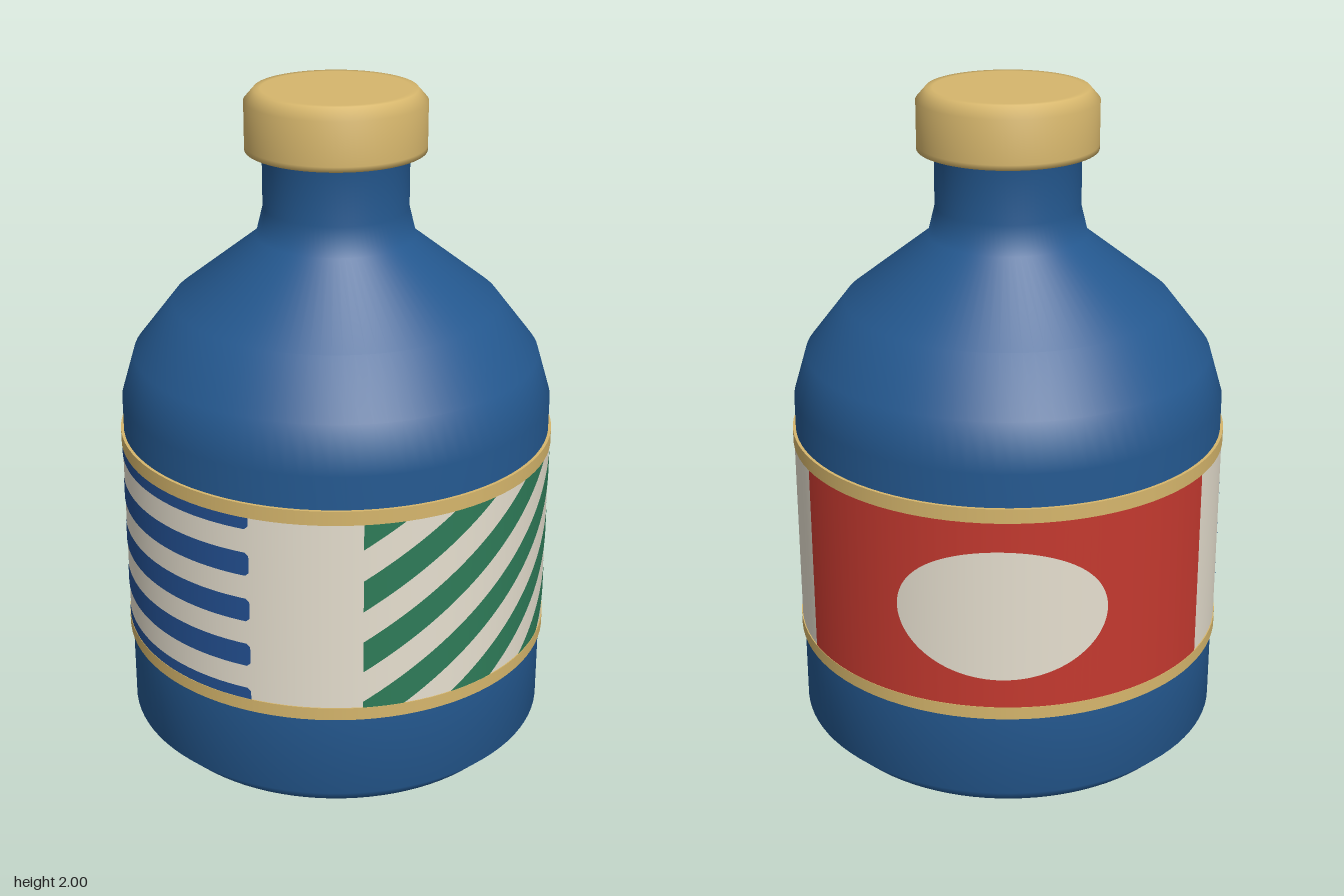
import * as THREE from 'three';

const mat = (name, color, side = THREE.FrontSide) => {
  const m = new THREE.MeshStandardMaterial({ color, side });
  m.name = name;
  return m;
};

// Label layout: height range inside the gold bands, and radius
const Y0 = 0.357, Y1 = 0.941, H = Y1 - Y0, R = 0.651;

export function createModel() {
  const blue = mat('bottle blue', 0x24588f);
  const gold = mat('gold', 0xd6b66c, THREE.DoubleSide);
  const cream = mat('cream', 0xe6dfcf);
  const red = mat('red', 0xc4392f);
  const green = mat('green', 0x2e7b58);
  const stripeBlue = mat('stripe blue', 0x235092);

  const model = new THREE.Group();
  model.name = 'bottle';

  const add = (name, geometry, material, parent = model) => {
    const mesh = new THREE.Mesh(geometry, material);
    mesh.name = name;
    parent.add(mesh);
    return mesh;
  };
  const lathe = (points, segments = 96) =>
    new THREE.LatheGeometry(points.map(([x, y]) => new THREE.Vector2(x, y)), segments);

  // Curved plate on the label: column(t) gives [angle in degrees, bottom y, top y]
  const plate = (r, steps, column) => {
    const pos = [], nor = [], idx = [];
    for (let i = 0; i <= steps; i++) {
      const [deg, lo, hi] = column(i / steps);
      const a = THREE.MathUtils.degToRad(deg), s = Math.sin(a), c = Math.cos(a);
      pos.push(r * s, lo, r * c, r * s, hi, r * c);
      nor.push(s, 0, c, s, 0, c);
      if (i < steps) {
        const k = 2 * i;
        idx.push(k, k + 2, k + 3, k, k + 3, k + 1);
      }
    }
    const g = new THREE.BufferGeometry();
    g.setAttribute('position', new THREE.Float32BufferAttribute(pos, 3));
    g.setAttribute('normal', new THREE.Float32BufferAttribute(nor, 3));
    g.setIndex(idx);
    return g;
  };
  const lerp = THREE.MathUtils.lerp;
  const clampY = (y) => THREE.MathUtils.clamp(y, Y0, Y1);

  // Bottle body, shoulder and neck
  add('body', lathe([
    [0, 0], [0.57, 0], [0.585, 0], [0.645, 0.06], [0.645, 0.3], [0.645, 1.085],
    [0.605, 1.22], [0.485, 1.375], [0.235, 1.57], [0.214, 1.655],
    [0.214, 1.81], [0.235, 1.835], [0.235, 1.86], [0, 1.86],
  ]), blue);

  // Cap, open underneath
  add('cap', lathe([
    [0.25, 1.825], [0.264, 1.825], [0.264, 1.84], [0.264, 1.967], [0.235, 2], [0.215, 2], [0, 2],
  ]), gold);

  // Wrapped label with gold edges
  const label = new THREE.Group();
  label.name = 'label';
  model.add(label);
  add('labelPaper', new THREE.CylinderGeometry(R, R, H, 96, 1, true)
    .translate(0, (Y0 + Y1) / 2, 0), cream, label);
  for (const [name, lo, hi] of [['lowerBand', 0.318, Y0], ['upperBand', Y1, 0.984]]) {
    const ring = new THREE.CylinderGeometry(0.654, 0.654, hi - lo, 96, 1, true);
    add(name, ring.translate(0, (lo + hi) / 2, 0), gold, label);
    for (const y of [lo, hi]) {
      const edge = new THREE.RingGeometry(0.64, 0.654, 96).rotateX(-Math.PI / 2);
      add(name + 'Edge', edge.translate(0, y, 0), gold, label);
    }
  }

  // Red panel with a cream oval
  add('redPanel', plate(R + 0.0015, 60, (t) => [lerp(90, 212.4, t), Y0, Y1]), red, label);
  add('oval', plate(R + 0.003, 64, (t) => {
    const a = Math.PI * t, h = 0.203 * Math.sin(a);
    return [151.2 - 27.2 * Math.cos(a), 0.65 - h, 0.65 + h];
  }), cream, label);

  // Horizontal blue stripes, centred on quarters of the label height, with clipped corners
  for (let k = 0; k <= 4; k++) {
    const y = Y0 + (H * k) / 4;
    add('blueStripe', plate(R + 0.0015, 80, (t) => {
      const half = t === 0 || t === 1 ? 0.026 : 0.0365;
      return [lerp(234, 313.2, t), clampY(y - half), clampY(y + half)];
    }), stripeBlue, label);
  }

  // Diagonal green stripes, clipped to their panel
  const period = 26.5, slope = H / 3 / period, left = -18, right = 68.4;
  for (let k = -1; k <= 5; k++) {
    const start = 5.9 + period * k;
    const a0 = Math.max(left, start - 3 * period);
    const a1 = Math.min(right, start + period / 2);
    if (a1 <= a0) continue;
    add('greenStripe', plate(R + 0.0015, 90, (t) => {
      const a = lerp(a0, a1, t), top = Y1 + (a - start) * slope;
      return [a, clampY(top - (slope * period) / 2), clampY(top)];
    }), green, label);
  }
  return model;
}
